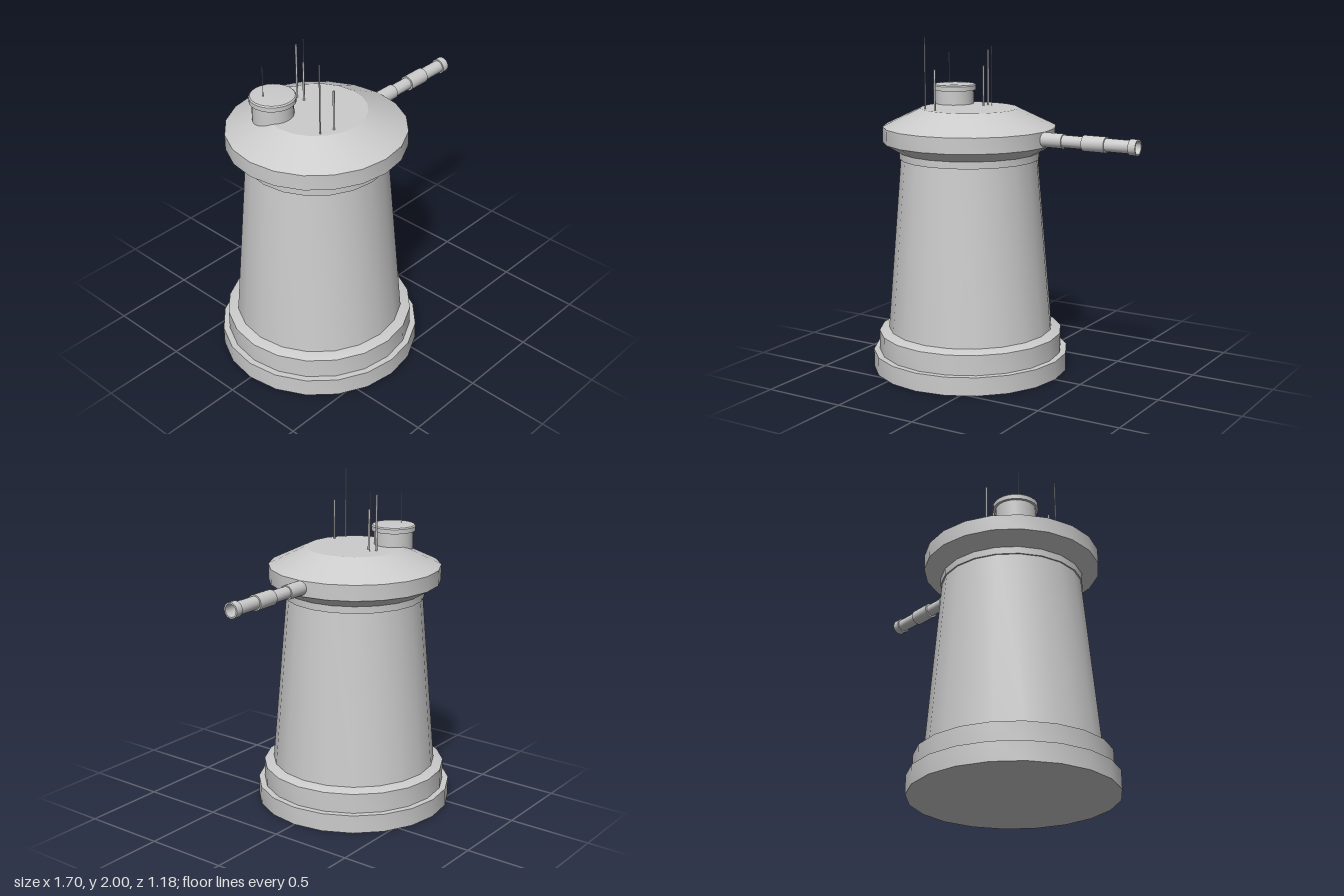
import * as THREE from 'three';
import { toCreasedNormals } from 'three/addons/utils/BufferGeometryUtils.js';

const material = new THREE.MeshStandardMaterial({ color: 0xcccccc });

// Turned part: profile of [radius, height] pairs, smooth around, sharp at the steps
function turned(name, profile, sides) {
  const points = profile.map(([r, y]) => new THREE.Vector2(r, y));
  const geometry = toCreasedNormals(new THREE.LatheGeometry(points, sides), 0.38);
  const mesh = new THREE.Mesh(geometry, material);
  mesh.name = name;
  return mesh;
}

export function createModel() {
  const model = new THREE.Group();
  model.name = 'gunTower';

  // Everything but the gun and masts is centred on the tower axis
  const tower = new THREE.Group();
  tower.name = 'tower';
  tower.position.x = -0.26;
  model.add(tower);

  // Stepped foundation
  tower.add(turned('foundation', [
    [0, 0], [0.592, 0], [0.592, 0.11], [0.555, 0.11],
    [0.555, 0.23], [0.497, 0.25], [0, 0.25],
  ], 20));

  // Tapering shaft and its collar
  tower.add(turned('shaft', [[0.497, 0.25], [0.408, 1.3]], 20));
  tower.add(turned('collar', [[0.4, 1.285], [0.418, 1.285], [0.418, 1.33], [0, 1.33]], 20));

  // Rotating head with sloped roof
  tower.add(turned('turretHead', [
    [0, 1.325], [0.415, 1.325], [0.515, 1.385], [0.515, 1.477], [0.29, 1.585], [0, 1.585],
  ], 20));

  // Lookout hatch with overhanging, softly domed lid
  const hatch = turned('hatch', [
    [0.117, 1.48], [0.117, 1.668], [0.132, 1.668], [0.132, 1.695],
    [0.125, 1.702], [0.085, 1.705], [0, 1.705],
  ], 24);
  hatch.position.set(-0.197, 0, -0.14);
  tower.add(hatch);

  // Stepped gun barrel with a hollow muzzle, pointing to +x
  const barrel = turned('gunBarrel', [
    [0, 0.18], [0.043, 0.18], [0.043, 0.38], [0.036, 0.38], [0.036, 0.51],
    [0.046, 0.51], [0.046, 0.65], [0.038, 0.65], [0.038, 0.80],
    [0.046, 0.80], [0.046, 0.845], [0.037, 0.845], [0.037, 0.72], [0, 0.72],
  ], 20);
  barrel.rotation.z = -Math.PI / 2;
  barrel.position.set(0, 1.433, 0.006);
  model.add(barrel);

  // Aerial masts: x, z, foot, tip, radius
  const masts = [
    [-0.438, 0.2, 1.56, 2.0, 0.004],
    [-0.355, 0.224, 1.56, 1.823, 0.006],
    [-0.236, -0.172, 1.56, 1.914, 0.006],
    [-0.236, -0.118, 1.56, 1.823, 0.006],
    [-0.199, -0.152, 1.56, 1.94, 0.002],
    [-0.508, -0.16, 1.69, 1.89, 0.002],
  ];
  masts.forEach(([x, z, foot, tip, r], i) => {
    const mast = new THREE.Mesh(new THREE.CylinderGeometry(r, r, tip - foot, 8), material);
    mast.name = 'mast' + (i + 1);
    mast.position.set(x, (foot + tip) / 2, z);
    model.add(mast);
  });

  return model;
}
